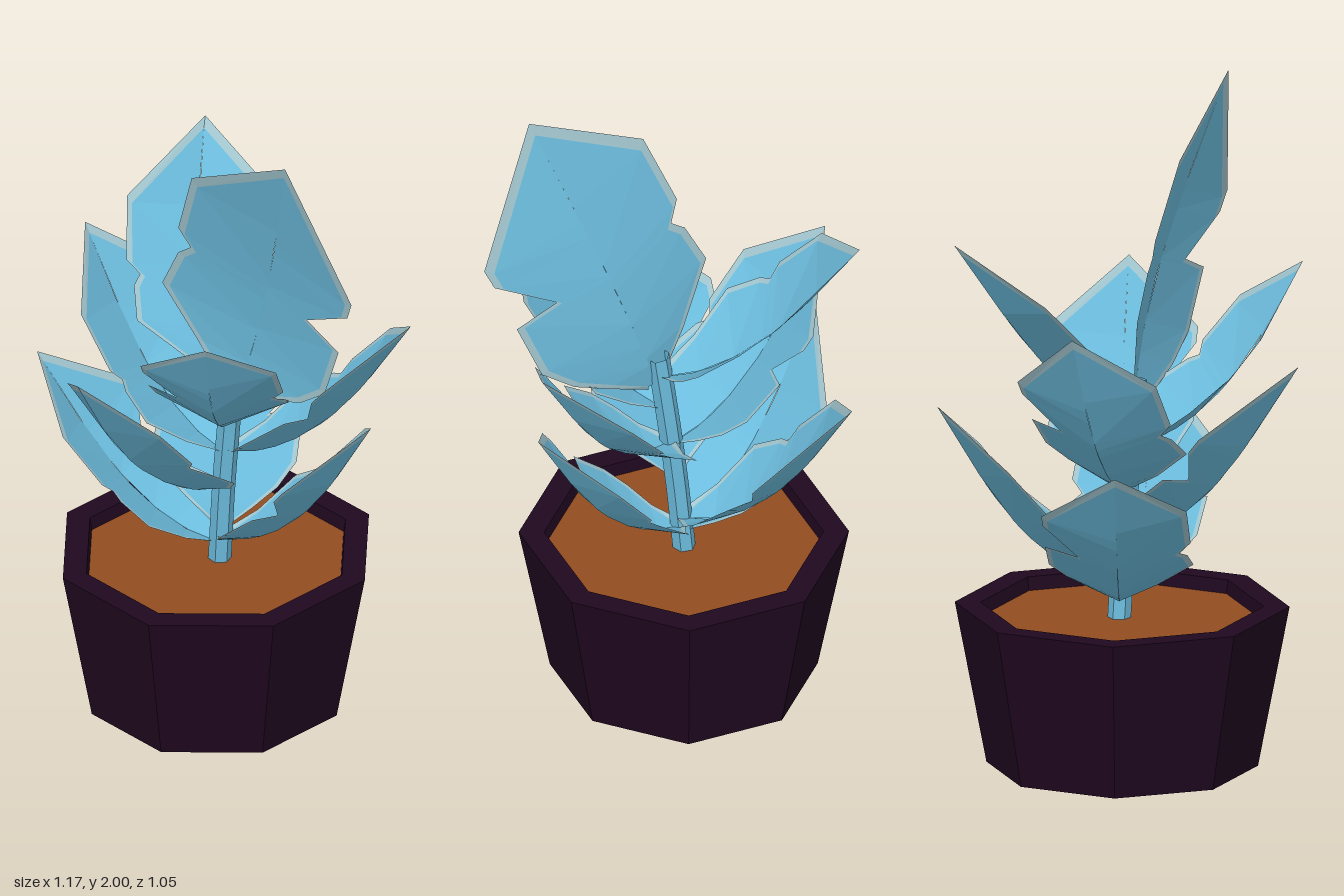
import * as THREE from 'three';

const mat = (name, color, side = THREE.FrontSide) => {
  const m = new THREE.MeshStandardMaterial({ color, flatShading: true, side });
  m.name = name;
  return m;
};

// Half outlines of a unit leaf, [along, across] from base to tip
const LEFT = [[0, 0.02], [0.11, 0.14], [0.25, 0.28], [0.39, 0.26], [0.435, 0.23], [0.486, 0.275], [0.72, 0.265], [1, 0]];
const RIGHT = [[0, 0.02], [0.08, 0.11], [0.16, 0.2], [0.26, 0.265], [0.445, 0.275], [0.455, 0.15], [0.605, 0.28], [0.67, 0.285], [1, 0]];

// Builds one leaf: blade triangles first, then the pale rim, as two groups.
// The midrib sags below the chord, both halves fold upward from it,
// and bend bows the whole leaf sideways.
function leafGeometry(base, tip, sideHint, { sag = 0.12, fold = 0.33, bend = 0, width = 1 }) {
  const axis = tip.clone().sub(base);
  const size = axis.length();
  axis.normalize();
  const across = sideHint.clone().addScaledVector(axis, -sideHint.dot(axis)).normalize();
  const normal = axis.clone().cross(across);
  const blade = [], rim = [];

  const lift = (u, v) => -sag * Math.sin(Math.PI * Math.pow(u, 0.7)) + fold * (1.6 - u) * v;
  const quad = (out, corners, sign) => {
    const p = corners.map(([u, v]) => base.clone()
      .addScaledVector(axis, u * size)
      .addScaledVector(across, (sign * v * width + bend * Math.sin(Math.PI * u)) * size)
      .addScaledVector(normal, lift(u, v) * size));
    const order = sign > 0 ? [0, 1, 2, 0, 2, 3] : [0, 2, 1, 0, 3, 2];
    order.forEach(i => out.push(...p[i].toArray()));
  };
  const inset = ([u, v]) => [0.015 + u * 0.943, v * 0.925];

  for (const [half, sign] of [[LEFT, 1], [RIGHT, -1]]) {
    for (let i = 0; i < half.length - 1; i++) {
      const a = inset(half[i]), b = inset(half[i + 1]);
      quad(blade, [[a[0], 0], [b[0], 0], b, a], sign);
      quad(rim, [a, b, half[i + 1], half[i]], sign);
    }
  }
  const geo = new THREE.BufferGeometry();
  geo.setAttribute('position', new THREE.Float32BufferAttribute(blade.concat(rim), 3));
  geo.addGroup(0, blade.length / 3, 0);
  geo.addGroup(blade.length / 3, rim.length / 3, 1);
  geo.computeVertexNormals();
  return geo;
}

export function createModel() {
  const group = new THREE.Group();
  const potMat = mat('dark plum pot', 0x1f081f);
  const soilMat = mat('brown soil', 0x924c20);
  const leafMat = mat('blue leaf', 0x6cbcdd, THREE.DoubleSide);
  const rimMat = mat('pale leaf rim', 0xa2c6cf, THREE.DoubleSide);

  const add = (name, geometry, material) => {
    const mesh = new THREE.Mesh(geometry, material);
    mesh.name = name;
    group.add(mesh);
    return mesh;
  };

  // Eight-sided pot with a hollow lip
  const profile = [[0, 0], [0.395, 0], [0.487, 0.48], [0.412, 0.48], [0.4, 0.4]]
    .map(([r, y]) => new THREE.Vector2(r, y));
  const pot = add('pot', new THREE.LatheGeometry(profile, 8), potMat);
  const soil = add('soil', new THREE.CylinderGeometry(0.406, 0.4, 0.03, 8), soilMat);
  soil.position.y = 0.425;
  for (const part of [pot, soil]) {
    part.position.x = -0.027;
    part.scale.x = 0.97;
  }

  // Slightly leaning stem
  const stemCurve = new THREE.CatmullRomCurve3([
    new THREE.Vector3(-0.02, 0.42, -0.01),
    new THREE.Vector3(0.0, 0.7, 0.005),
    new THREE.Vector3(0.025, 0.95, 0.02),
    new THREE.Vector3(0.045, 1.14, 0.035),
  ]);
  add('stem', new THREE.TubeGeometry(stemCurve, 6, 0.034, 6), leafMat);

  // Side leaves: height on the stem, tip, sideways bend, roll
  const up = new THREE.Vector3(0, 1, 0);
  const sideLeaves = [
    ['lowerLeftLeaf', 0.52, [0.50, 1.05, 0.08], 0, 0],
    ['lowerRightLeaf', 0.50, [-0.59, 1.01, 0.01], 0, 0],
    ['lowerFrontLeaf', 0.70, [-0.235, 1.26, 0.525], -0.05, 0],
    ['lowerBackLeaf', 0.55, [-0.18, 1.11, -0.53], 0.01, 0],
    ['upperLeftLeaf', 0.83, [0.585, 1.365, -0.015], 0.03, -0.13],
    ['upperRightLeaf', 0.82, [-0.495, 1.40, -0.12], 0, 0],
    ['upperFrontLeaf', 0.95, [0.165, 1.47, 0.515], -0.01, 0],
    ['upperBackLeaf', 1.07, [-0.27, 1.62, -0.475], 0.06, 0],
  ];
  for (const [name, y, tipAt, bend, roll] of sideLeaves) {
    const lean = (y - 0.42) * 0.09;
    const base = new THREE.Vector3(lean - 0.02, y, lean * 0.7 - 0.01);
    const tip = new THREE.Vector3(...tipAt);
    const side = up.clone().cross(tip.clone().sub(base)).normalize().addScaledVector(up, roll);
    add(name, leafGeometry(base, tip, side, { bend }), [leafMat, rimMat]);
  }

  // Large, flatter crown leaf, its upper face turned to the front
  add('crownLeaf', leafGeometry(
    new THREE.Vector3(0.05, 1.03, 0.04),
    new THREE.Vector3(0.32, 2.0, 0.29),
    new THREE.Vector3(-0.95, 0.21, -0.22),
    { sag: 0.05, fold: 0.15, width: 1.07 },
  ), [leafMat, rimMat]);

  return group;
}
